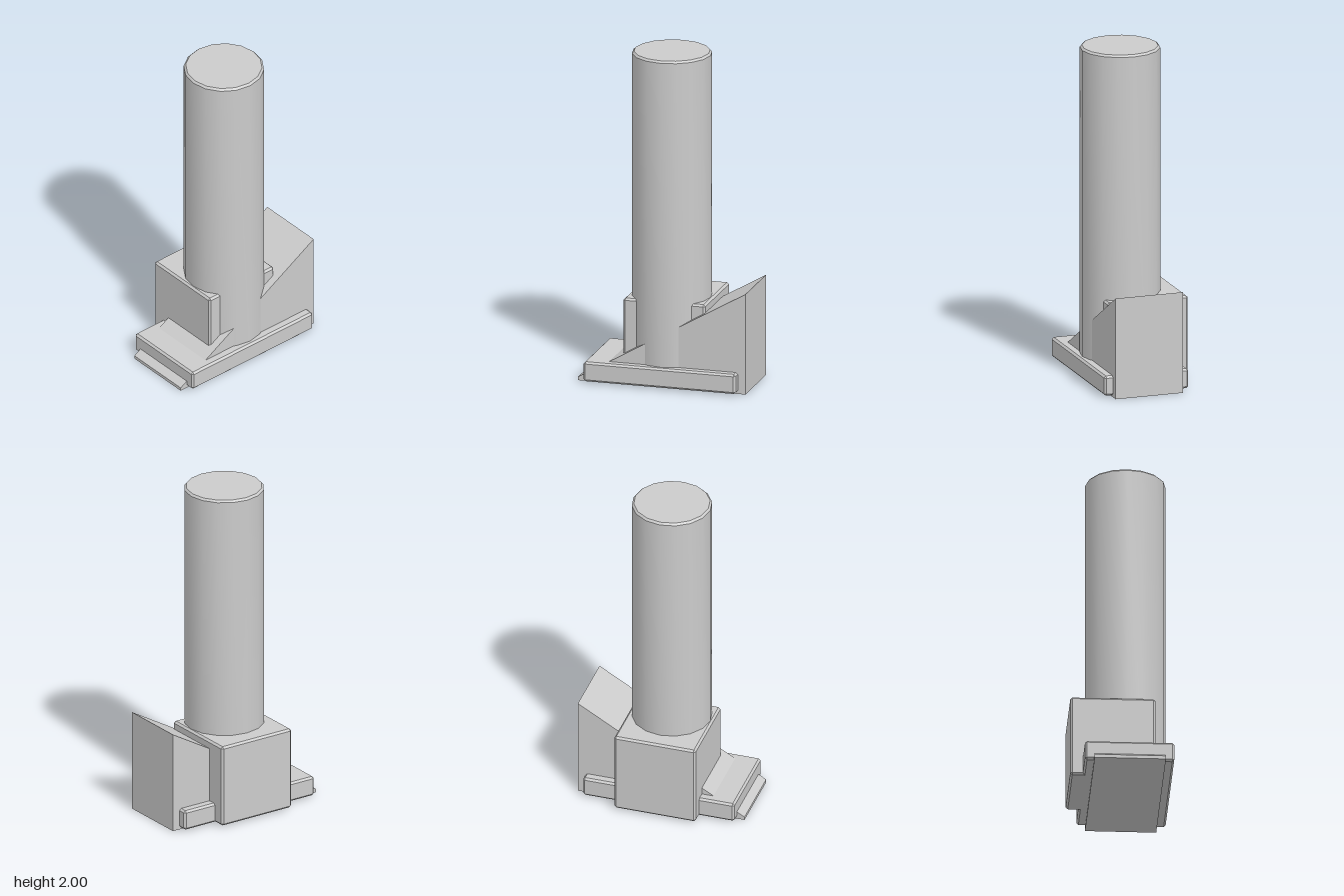
import * as THREE from 'three';
import { toCreasedNormals } from 'three/addons/utils/BufferGeometryUtils.js';
import { ConvexGeometry } from 'three/addons/geometries/ConvexGeometry.js';

const BEVEL = 0.012;
const material = new THREE.MeshStandardMaterial({ color: 0xcccccc });

function addPart(group, name, geometry) {
  const mesh = new THREE.Mesh(geometry, material);
  mesh.name = name;
  group.add(mesh);
  return mesh;
}

// Box with every edge chamfered: each corner becomes three points
function chamferedBox(w, h, d, c) {
  const points = [];
  for (const sx of [-1, 1]) for (const sy of [-1, 1]) for (const sz of [-1, 1]) {
    for (let axis = 0; axis < 3; axis++) {
      const inset = [c, c, c];
      inset[axis] = 0;
      points.push(new THREE.Vector3(
        sx * (w / 2 - inset[0]), sy * (h / 2 - inset[1]), sz * (d / 2 - inset[2])));
    }
  }
  return new ConvexGeometry(points);
}

export function createModel() {
  const group = new THREE.Group();

  // Flat base plate
  addPart(group, 'basePlate', chamferedBox(0.524, 0.12, 0.93, BEVEL)).position.set(0.036, 0.07, 0);

  // Square block beside the column
  addPart(group, 'sideBlock', chamferedBox(0.5, 0.5, 0.5, BEVEL)).position.set(-0.05, 0.26, 0);

  // Tall sixteen-sided column with chamfered rims
  const r = 0.236, bottom = 0.01, top = 2;
  const profile = [
    [0, bottom], [r - BEVEL, bottom], [r, bottom + BEVEL],
    [r, top - BEVEL], [r - BEVEL, top], [0, top],
  ].map(([x, y]) => new THREE.Vector2(x, y));
  const column = toCreasedNormals(new THREE.LatheGeometry(profile, 16), Math.PI / 6);
  addPart(group, 'column', column).position.set(0.036, 0, 0);

  // Thirty-degree ramp rising to the back: side profile in (z, y), swept across x
  const side = new THREE.Shape([
    [0.512, 0], [0.512, 0.02], [-0.512, 0.612], [-0.512, 0],
  ].map(([z, y]) => new THREE.Vector2(z, y)));
  const ramp = new THREE.ExtrudeGeometry(side, { depth: 0.418, bevelEnabled: false });
  ramp.rotateY(-Math.PI / 2);
  addPart(group, 'ramp', ramp).position.set(0.246, 0, 0);

  return group;
}
